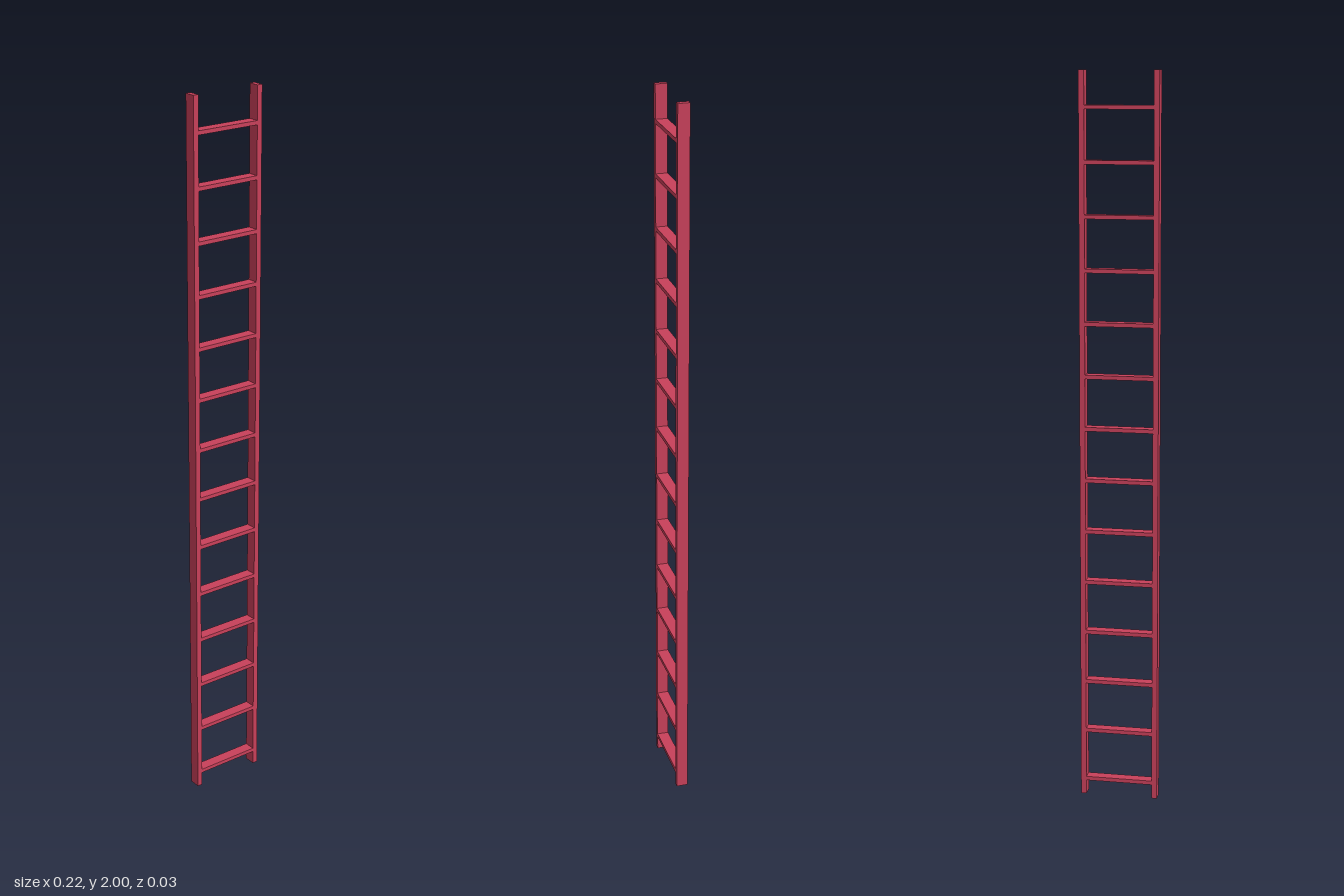
import * as THREE from 'three';

const HEIGHT = 2, DEPTH = 0.032;
const HALF_WIDTH = 0.108, RAIL_WIDTH = 0.015;
const RUNG_COUNT = 14, RUNG_START = 0.045, RUNG_SPACING = 0.143, RUNG_THICKNESS = 0.011;

export function createModel() {
  const ladder = new THREE.Group();
  ladder.name = 'ladder';
  const paint = new THREE.MeshStandardMaterial({ color: 0xc8405a });

  const addBox = (name, w, h, d, x, y) => {
    const mesh = new THREE.Mesh(new THREE.BoxGeometry(w, h, d), paint);
    mesh.name = name;
    mesh.position.set(x, y, 0);
    ladder.add(mesh);
  };

  // Upright side rails
  for (const [name, side] of [['leftRail', 1], ['rightRail', -1]]) {
    addBox(name, RAIL_WIDTH, HEIGHT, DEPTH, side * (HALF_WIDTH - RAIL_WIDTH / 2), HEIGHT / 2);
  }

  // Flat rungs spanning between the rails
  const span = 2 * (HALF_WIDTH - RAIL_WIDTH);
  for (let i = 0; i < RUNG_COUNT; i++) {
    addBox(`rung${i + 1}`, span, RUNG_THICKNESS, DEPTH, 0, RUNG_START + i * RUNG_SPACING);
  }

  return ladder;
}
